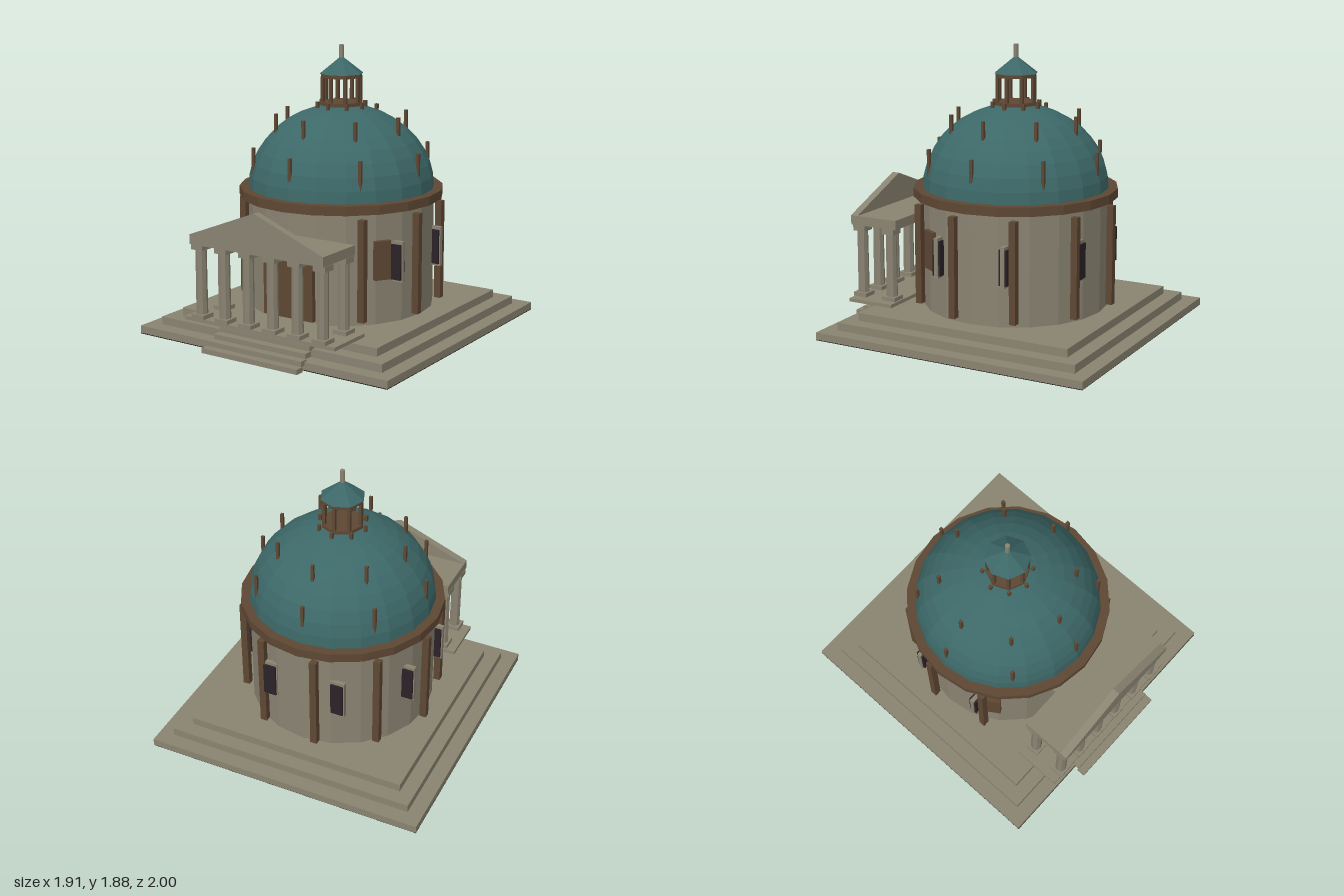
import * as THREE from 'three';

const mat = (name, color) => {
  const m = new THREE.MeshStandardMaterial({ color });
  m.name = name;
  return m;
};

export function createModel() {
  const stone = mat('stone', 0x898371);
  const bronze = mat('brown bronze', 0x5e4733);
  const copper = mat('green copper', 0x3d6868);
  const glass = mat('dark glass', 0x2a2228);
  const soil = mat('dark underside', 0x17120f);
  const root = new THREE.Group();
  root.name = 'domedTemple';
  const CZ = -0.045; // axis of the round hall

  const group = (name) => {
    const g = new THREE.Group();
    g.name = name;
    root.add(g);
    return g;
  };
  const add = (parent, name, geometry, material, x = 0, y = 0, z = 0) => {
    const flat = geometry.index ? geometry.toNonIndexed() : geometry;
    flat.computeVertexNormals(); // faceted look
    const m = new THREE.Mesh(flat, material);
    m.name = name;
    m.position.set(x, y, z);
    parent.add(m);
    return m;
  };
  // box given by centre x/z and bottom/top heights
  const box = (p, name, material, w, y0, y1, d, x = 0, z = 0) =>
    add(p, name, new THREE.BoxGeometry(w, y1 - y0, d), material, x, (y0 + y1) / 2, z);
  // upright prism given by radius and bottom/top heights
  const drum = (p, name, material, rTop, rBottom, y0, y1, sides, x = 0, z = CZ) =>
    add(p, name, new THREE.CylinderGeometry(rTop, rBottom, y1 - y0, sides), material, x, (y0 + y1) / 2, z);

  // Stepped square platform
  const platform = group('platform');
  box(platform, 'underside', soil, 1.91, 0, 0.004, 1.91, 0, -0.043);
  [1.91, 1.71, 1.515].forEach((w, i) =>
    box(platform, 'tier', stone, w, i ? i * 0.0535 : 0.004, (i + 1) * 0.0535, w, 0, -0.045));

  // Front stairs, each tread separate
  const stairs = group('stairs');
  for (let i = 0; i < 5; i++)
    box(stairs, 'step', stone, 0.735 - i * 0.012, i * 0.033, (i + 1) * 0.033, 0.06, 0, 0.97 - i * 0.055);

  // Round hall, cornice and dome
  const hall = group('hall');
  drum(hall, 'wall', stone, 0.617, 0.617, 0.16, 0.89, 20);
  drum(hall, 'cornice', bronze, 0.676, 0.676, 0.89, 0.95, 20);
  const domeY = 0.94, domeR = 0.617, domeH = 0.55;
  const domeGeo = new THREE.SphereGeometry(domeR, 20, 10, 0, Math.PI * 2, 0, Math.PI / 2);
  domeGeo.scale(1, domeH / domeR, 1);
  add(hall, 'dome', domeGeo, copper, 0, domeY, CZ);

  // Pilasters round the wall, left out behind the portico
  const pilasters = group('pilasters');
  for (let i = 0; i < 10; i++) {
    if (i === 2 || i === 3) continue;
    const a = THREE.MathUtils.degToRad(9 + i * 36);
    box(pilasters, 'pilaster', bronze, 0.046, 0.195, 0.858, 0.044,
      Math.cos(a) * 0.655, CZ + Math.sin(a) * 0.655);
  }

  // Narrow windows, left out behind the portico
  const windows = group('windows');
  for (let i = 0; i < 8; i++) {
    if (i === 1 || i === 2) continue;
    const a = THREE.MathUtils.degToRad(22.5 + i * 45);
    const x = Math.cos(a) * 0.628, z = CZ + Math.sin(a) * 0.628;
    box(windows, 'windowFrame', stone, 0.1, 0.43, 0.695, 0.028, x, z);
    box(windows, 'windowPane', glass, 0.085, 0.445, 0.675, 0.056, x, z);
  }

  // Wall panels either side of the portico
  for (const s of [-1, 1]) {
    const a = THREE.MathUtils.degToRad(32.6);
    const panel = box(root, 'wallPanel', bronze, 0.11, 0.457, 0.71, 0.03,
      s * Math.cos(a) * 0.632, CZ + Math.sin(a) * 0.632);
    panel.rotation.y = s * (Math.PI / 2 - a);
  }

  // Entrance door with lintel
  box(root, 'door', bronze, 0.38, 0.185, 0.608, 0.06, 0, 0.545);
  box(root, 'doorLintel', stone, 0.4, 0.608, 0.675, 0.06, 0, 0.555);

  // Portico: floor, columns, entablature and pediment
  const portico = group('portico');
  box(portico, 'porticoFloor', stone, 1.16, 0.162, 0.185, 0.33, 0, 0.74);
  const column = (x, z) => {
    box(portico, 'columnBase', stone, 0.1, 0.185, 0.212, 0.1, x, z);
    drum(portico, 'columnShaft', stone, 0.036, 0.038, 0.212, 0.637, 8, x, z);
    box(portico, 'columnCapital', stone, 0.09, 0.637, 0.675, 0.09, x, z);
  };
  for (let i = 0; i < 6; i++) column((i - 2.5) * 0.187, 0.863);
  for (const s of [-1, 1]) column(s * 0.4675, 0.637);
  box(portico, 'entablature', stone, 1.02, 0.675, 0.738, 0.35, 0, 0.75);
  const gable = new THREE.Shape();
  gable.moveTo(-0.51, 0).lineTo(0.51, 0).lineTo(0, 0.2).closePath();
  add(portico, 'pediment', new THREE.ExtrudeGeometry(gable, { depth: 0.052, bevelEnabled: false }),
    stone, 0, 0.738, 0.873);

  // Three rings of small posts on the dome
  const posts = group('domePosts');
  for (const [deg, h] of [[18, 0.2], [45, 0.2], [75, 0.06]]) {
    const e = THREE.MathUtils.degToRad(deg);
    const r = domeR * Math.cos(e), y = domeY + 0.008 + domeH * Math.sin(e);
    for (let i = 0; i < 8; i++) {
      const a = i * Math.PI / 4;
      box(posts, 'domePost', bronze, 0.02, y - h / 2, y + h / 2, 0.02,
        Math.cos(a) * r, CZ + Math.sin(a) * r);
    }
  }

  // Lantern on top
  const lantern = group('lantern');
  drum(lantern, 'lanternBase', bronze, 0.14, 0.14, 1.485, 1.508, 8);
  for (let i = 0; i < 8; i++) {
    const a = i * Math.PI / 4;
    box(lantern, 'lanternPost', bronze, 0.021, 1.5, 1.675, 0.021,
      Math.cos(a) * 0.125, CZ + Math.sin(a) * 0.125);
  }
  drum(lantern, 'lanternRing', bronze, 0.138, 0.138, 1.668, 1.692, 8);
  add(lantern, 'lanternRoof', new THREE.ConeGeometry(0.147, 0.115, 8), copper, 0, 1.75, CZ);
  drum(lantern, 'finial', stone, 0.016, 0.016, 1.795, 1.88, 8);

  return root;
}
